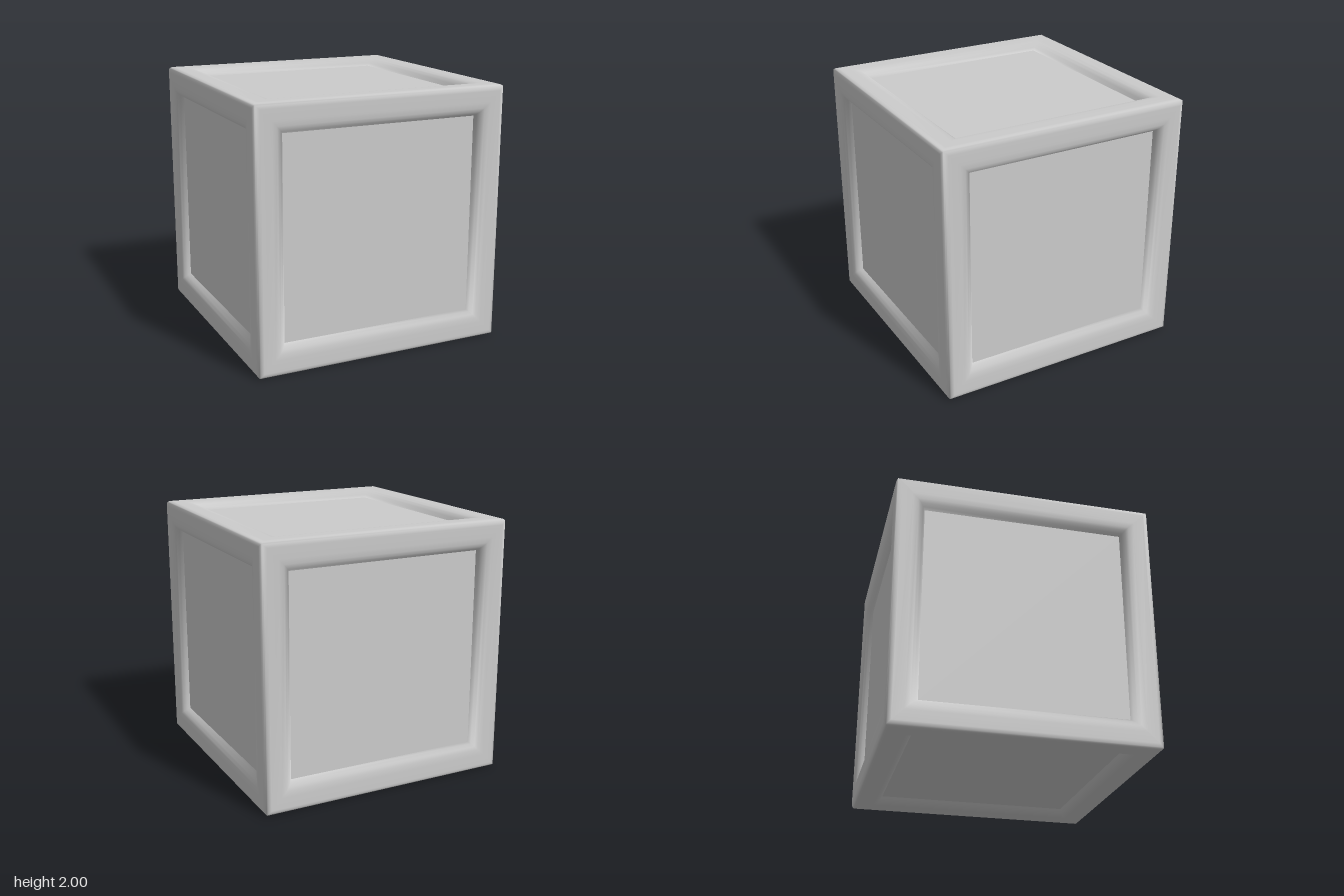
import * as THREE from 'three';
import { mergeVertices, mergeGeometries } from 'three/addons/utils/BufferGeometryUtils.js';

const PANEL_HALF = 0.77, PANEL_HEIGHT = 0.935, R = 0.045;

// Rotations that carry the front side (+z) to all six sides
const SIDES = {
  front: [0, 0], left: [0, Math.PI / 2], back: [0, Math.PI], right: [0, -Math.PI / 2],
  top: [-Math.PI / 2, 0], bottom: [Math.PI / 2, 0],
};

// Frame section as [half width, height]: inner slope, flat rim, half of the rounded edge
function frameProfile() {
  const points = [[PANEL_HALF, PANEL_HEIGHT], [0.785, 0.957], [0.805, 0.98], [0.83, 0.993], [0.87, 0.999], [1 - R, 1]];
  for (let i = 1; i <= 4; i++) {
    const a = (i / 4) * Math.PI / 4;
    points.push([1 - R + R * Math.sin(a), 1 - R + R * Math.cos(a)]);
  }
  return points;
}

// Mitred square border of one side, joined ring by ring
function borderGeometry() {
  const positions = [], index = [];
  const profile = frameProfile();
  for (const [h, z] of profile) positions.push(-h, -h, z, h, -h, z, h, h, z, -h, h, z);
  for (let r = 0; r < profile.length - 1; r++) {
    for (let c = 0; c < 4; c++) {
      const a = r * 4 + c, b = r * 4 + (c + 1) % 4;
      index.push(a, a + 4, b + 4, a, b + 4, b);
    }
  }
  const geometry = new THREE.BufferGeometry();
  geometry.setAttribute('position', new THREE.Float32BufferAttribute(positions, 3));
  geometry.setIndex(index);
  return geometry;
}

export function createModel() {
  const model = new THREE.Group();
  model.name = 'crate';
  const material = new THREE.MeshStandardMaterial({ color: 0xcccccc });

  // Frame: six borders welded along the cube edges for smooth shading
  const borders = Object.values(SIDES).map(([rx, ry]) =>
    borderGeometry().rotateX(rx).rotateY(ry));
  const frameGeometry = mergeVertices(mergeGeometries(borders), 1e-4);
  frameGeometry.computeVertexNormals();
  const frame = new THREE.Mesh(frameGeometry, material);
  frame.name = 'frame';
  frame.position.y = 1;
  model.add(frame);

  // Flat recessed panel on each side
  for (const [side, [rx, ry]] of Object.entries(SIDES)) {
    const geometry = new THREE.PlaneGeometry(PANEL_HALF * 2, PANEL_HALF * 2)
      .translate(0, 0, PANEL_HEIGHT).rotateX(rx).rotateY(ry);
    const panel = new THREE.Mesh(geometry, material);
    panel.name = side + 'Panel';
    panel.position.y = 1;
    model.add(panel);
  }
  return model;
}
